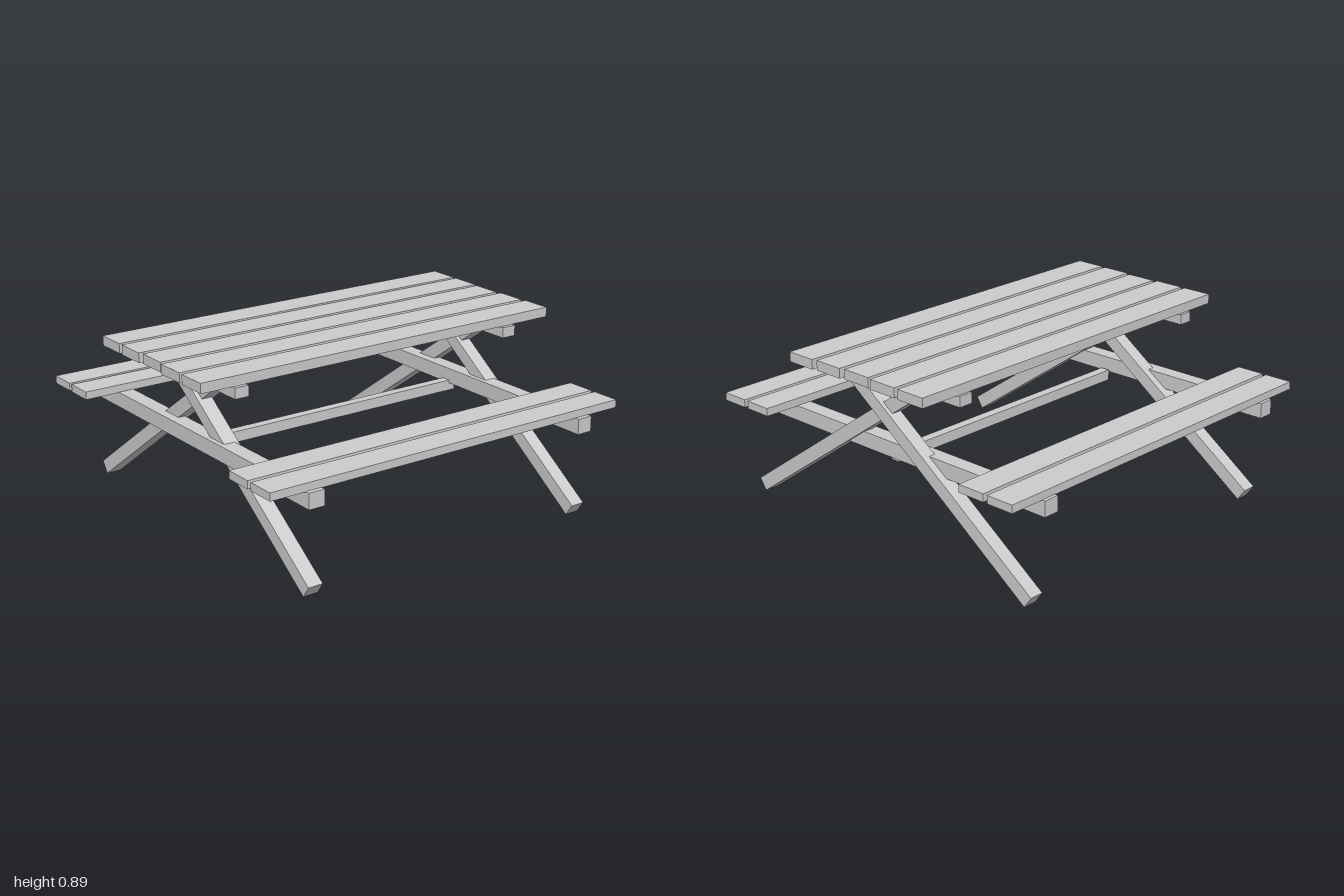
import * as THREE from 'three';

export function createModel() {
  const model = new THREE.Group();
  model.name = 'picnicTable';
  const timber = new THREE.MeshStandardMaterial({ color: 0xcccccc });
  timber.name = 'plain grey timber';

  const add = (name, geometry) => {
    const mesh = new THREE.Mesh(geometry, timber);
    mesh.name = name;
    model.add(mesh);
    return mesh;
  };

  // Box given by its lower and upper limits on each axis
  const board = (name, [x0, x1], [y0, y1], [z0, z1]) =>
    add(name, new THREE.BoxGeometry(x1 - x0, y1 - y0, z1 - z0))
      .position.set((x0 + x1) / 2, (y0 + y1) / 2, (z0 + z1) / 2);

  // Table top: five planks, the middle one slightly shorter
  [
    [-0.998, 0.995, -0.433], [-0.997, 0.993, -0.257], [-0.988, 0.985, -0.081],
    [-0.998, 0.993, 0.096], [-1, 1, 0.273],
  ].forEach(([x0, x1, z]) =>
    board('tablePlank', [x0, x1], [0.838, 0.886], [z, z + 0.154]));

  // Benches: two planks on each side
  [-0.948, -0.783, 0.63, 0.797].forEach((z) =>
    board('benchPlank', [-0.995, 0.99], [0.512, 0.551], [z, z + 0.144]));

  // Sloping leg, drawn in the z-y plane, trimmed flat under the table top
  const legProfile = [
    [0.923, 0.057], [0.884, 0.0], [-0.258, 0.806], [-0.237, 0.836], [-0.186, 0.836],
  ];
  const leg = (name, [x0, x1], side) => {
    // Shape x maps to -z once the extrusion is turned to run along +x
    const shape = new THREE.Shape(
      legProfile.map(([z, y]) => new THREE.Vector2(-z * side, y)));
    const geometry = new THREE.ExtrudeGeometry(shape, { depth: x1 - x0, bevelEnabled: false });
    geometry.rotateY(Math.PI / 2).translate(x0, 0, 0);
    add(name, geometry);
  };

  // The two end frames
  const frames = [
    { batten: [-0.836, -0.764], beam: [-0.815, -0.734], front: [-0.791, -0.715], back: [-0.769, -0.695], bolt: -0.815 },
    { batten: [0.706, 0.781], beam: [0.726, 0.807], front: [0.752, 0.825], back: [0.773, 0.845], bolt: 0.807 },
  ];
  for (const f of frames) {
    board('tableBatten', f.batten, [0.784, 0.836], [-0.442, 0.442]);
    board('benchBeam', f.beam, [0.438, 0.514], [-0.965, 0.965]);
    leg('frontLeg', f.front, 1);
    leg('backLeg', f.back, -1);
    // Small faceted bolt heads on the outer beam faces
    for (const z of [-0.775, 0.775])
      add('boltHead', new THREE.OctahedronGeometry(0.014)).position.set(f.bolt, 0.478, z);
  }

  // Long rail joining the end frames
  board('stretcher', [-0.72, 0.76], [0.4, 0.453], [-0.024, 0.024]);

  return model;
}
